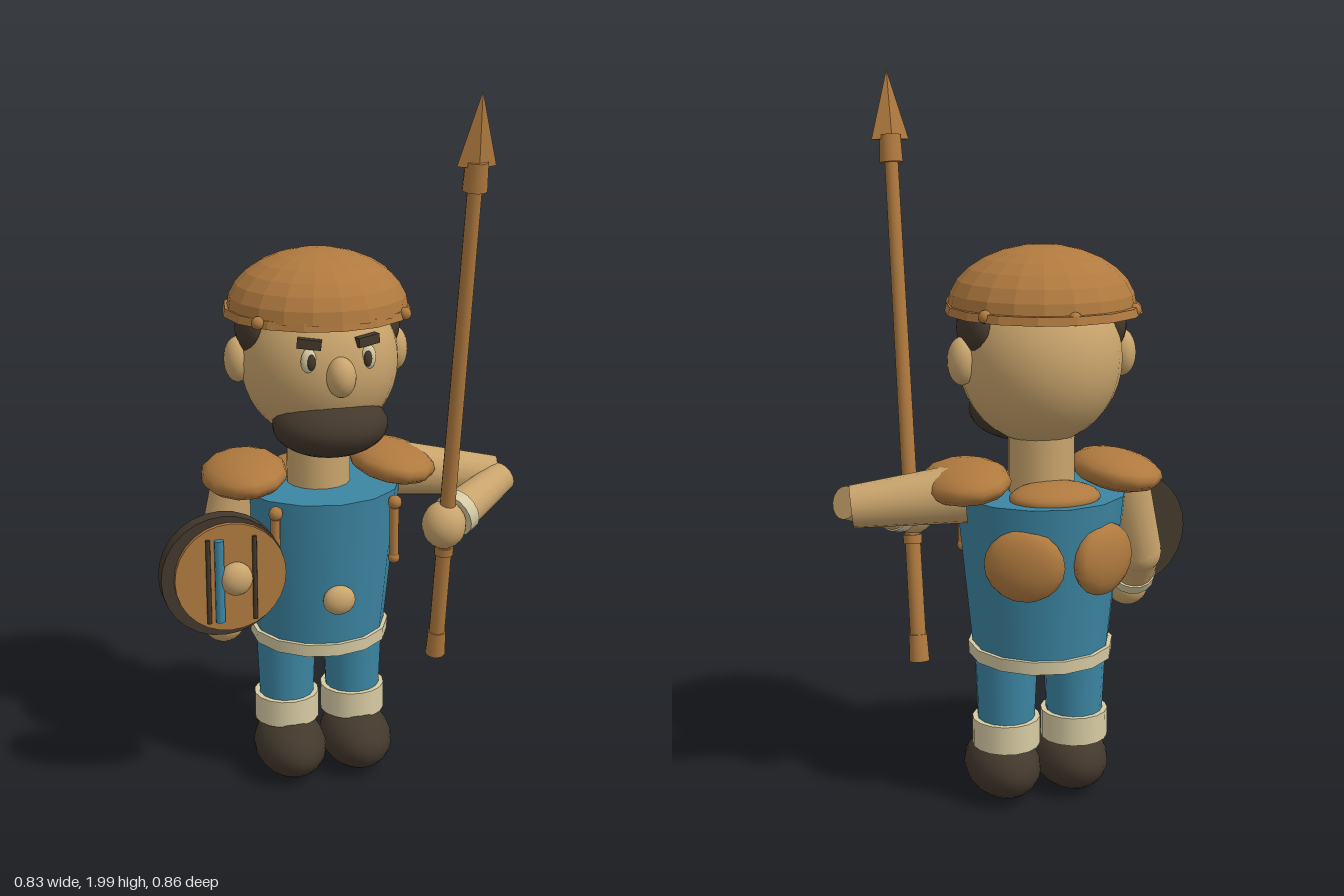
import * as THREE from 'three';

const paint = (name, color, flatShading = false) => {
  const m = new THREE.MeshStandardMaterial({ color });
  m.name = name;
  m.flatShading = flatShading;
  return m;
};

export function createModel() {
  const brown = paint('leather brown', 0xb07a3f);
  const skin = paint('skin tan', 0xcaa56d);
  const blue = paint('tunic blue', 0x3c86a3);
  const dark = paint('dark brown', 0x43382c);
  const cream = paint('cream', 0xd8cca4);
  const facetBrown = paint('faceted brown', 0xb07a3f, true);

  const model = new THREE.Group();
  model.name = 'guard';
  // The figure is turned 45 degrees: local +z is its front, local +x its left
  const figure = new THREE.Group();
  figure.name = 'figure';
  figure.position.set(-0.115, 0, -0.05);
  figure.rotation.y = Math.PI / 4;
  model.add(figure);

  const add = (name, geo, mat, pos, parent = figure) => {
    const m = new THREE.Mesh(geo, mat);
    m.name = name;
    m.position.set(...pos);
    parent.add(m);
    return m;
  };
  const blob = (name, mat, pos, radii, ws = 20, hs = 14) => {
    const m = add(name, new THREE.SphereGeometry(1, ws, hs), mat, pos);
    m.scale.set(...radii);
    return m;
  };
  const drum = (name, mat, pos, rTop, rBottom, h, sides = 16, parent = figure) =>
    add(name, new THREE.CylinderGeometry(rTop, rBottom, h, sides), mat, pos, parent);
  // Tapered limb from point a to point b
  const limb = (name, mat, a, b, ra, rb) => {
    const p = new THREE.Vector3(...a), q = new THREE.Vector3(...b);
    const dir = q.clone().sub(p);
    const m = drum(name, mat, p.clone().lerp(q, 0.5).toArray(), rb, ra, dir.length());
    m.quaternion.setFromUnitVectors(new THREE.Vector3(0, 1, 0), dir.normalize());
    return m;
  };

  // Torso
  drum('tunic', blue, [0, 0.67, 0], 0.232, 0.187, 0.44, 14);
  drum('tunicHem', cream, [0, 0.447, 0], 0.2, 0.198, 0.036, 14);
  blob('backCollar', brown, [0, 0.895, -0.11], [0.125, 0.04, 0.095]);
  blob('bellyButton', skin, [0, 0.605, 0.212], [0.046, 0.042, 0.03]);
  drum('neck', skin, [0, 0.99, 0], 0.09, 0.09, 0.22);

  for (const s of [-1, 1]) {
    const side = s > 0 ? 'left' : 'right';
    // Legs and feet
    drum(side + 'Leg', blue, [s * 0.1, 0.34, 0], 0.088, 0.078, 0.24);
    drum(side + 'LegCuff', cream, [s * 0.1, 0.21, 0], 0.094, 0.094, 0.08);
    blob(side + 'Shoe', dark, [s * 0.1, 0.095, 0.035], [0.103, 0.09, 0.147]);
    // Shoulder pads, back plates and chest straps
    const pad = blob(side + 'ShoulderPad', brown, [s * 0.216, 0.93, 0], [0.12, 0.053, 0.175], 12, 10);
    pad.rotation.z = -s * 0.12;
    const plate = blob(side + 'BackPlate', brown, [s * 0.11, 0.735, -0.183], [0.108, 0.098, 0.045], 12, 10);
    plate.rotation.y = s * -0.5;
    drum(side + 'ChestStrap', brown, [s * 0.17, 0.785, 0.175], 0.014, 0.014, 0.17, 8);
    blob(side + 'StrapKnob', brown, [s * 0.17, 0.865, 0.18], [0.02, 0.02, 0.02], 10, 8);
    blob(side + 'StrapEnd', brown, [s * 0.17, 0.7, 0.175], [0.017, 0.017, 0.017], 10, 8);
    // Face sides
    blob(side + 'Ear', skin, [s * 0.225, 1.255, -0.01], [0.038, 0.064, 0.045]);
    blob(side + 'Hair', dark, [s * 0.18, 1.335, 0], [0.05, 0.075, 0.09]);
    blob(side + 'Eye', cream, [s * 0.082, 1.292, 0.208], [0.022, 0.034, 0.014], 14, 10);
    blob(side + 'Pupil', dark, [s * 0.078, 1.29, 0.219], [0.012, 0.022, 0.008], 12, 8);
    const brow = add(side + 'Eyebrow', new THREE.BoxGeometry(0.065, 0.026, 0.022), dark,
      [s * 0.08, 1.338, 0.206]);
    brow.rotation.set(0, s * 0.3, s * 0.1);
  }

  // Head
  blob('head', skin, [0, 1.25, 0.012], [0.22, 0.232, 0.22], 28, 20);
  blob('nose', skin, [0, 1.248, 0.232], [0.04, 0.055, 0.045]);
  blob('beard', dark, [0, 1.09, 0.125], [0.16, 0.087, 0.142], 24, 16);

  // Helmet: faceted dome, brim and rivets
  const dome = add('helmetDome',
    new THREE.SphereGeometry(1, 20, 7, 0, Math.PI * 2, 0, Math.PI / 2), facetBrown, [0, 1.39, -0.002]);
  dome.scale.set(0.25, 0.162, 0.25);
  drum('helmetBrim', facetBrown, [0, 1.386, -0.012], 0.257, 0.262, 0.022, 16);
  for (const deg of [54, -54, 126, -126, 180]) {
    const a = deg * Math.PI / 180;
    blob('helmetRivet', brown, [Math.sin(a) * 0.252, 1.389, Math.cos(a) * 0.252],
      [0.018, 0.018, 0.018], 10, 8);
  }

  // Left arm, bent to hold the spear
  limb('leftUpperArm', skin, [0.223, 0.9, -0.015], [0.513, 0.87, 0.052], 0.08, 0.057);
  limb('leftForearm', skin, [0.525, 0.875, 0.08], [0.35, 0.815, 0.186], 0.045, 0.06);
  limb('leftArmCuff', cream, [0.368, 0.822, 0.175], [0.338, 0.812, 0.193], 0.064, 0.064);
  blob('leftHand', skin, [0.3, 0.8, 0.222], [0.062, 0.068, 0.062]);

  // Right arm, hanging behind the shield
  limb('rightUpperArm', skin, [-0.235, 0.9, 0], [-0.3, 0.68, 0.025], 0.075, 0.064);
  blob('rightElbow', skin, [-0.3, 0.68, 0.025], [0.064, 0.064, 0.064]);
  limb('rightForearm', skin, [-0.3, 0.68, 0.025], [-0.312, 0.59, 0.1], 0.062, 0.06);
  limb('rightArmCuff', cream, [-0.308, 0.61, 0.084], [-0.312, 0.585, 0.105], 0.066, 0.066);
  blob('rightHand', skin, [-0.31, 0.55, 0.13], [0.06, 0.06, 0.06]);

  // Round shield with slats and boss
  const rim = drum('shieldRim', dark, [-0.32, 0.705, 0.17], 0.172, 0.172, 0.046, 28);
  const face = drum('shieldFace', brown, [-0.303, 0.705, 0.2], 0.154, 0.154, 0.014, 28);
  rim.rotation.x = face.rotation.x = Math.PI / 2;
  for (const u of [-0.366, -0.238])
    drum('shieldSlat', dark, [u, 0.7, 0.212], 0.0065, 0.0065, 0.24, 8);
  drum('shieldStripe', blue, [-0.336, 0.7, 0.214], 0.013, 0.013, 0.235, 10);
  blob('shieldBoss', skin, [-0.29, 0.703, 0.215], [0.045, 0.047, 0.034]);

  // Spear, leaning forward
  const spear = new THREE.Group();
  spear.name = 'spear';
  spear.position.set(0.306, 0.38, 0.152);
  spear.rotation.x = 0.165;
  figure.add(spear);
  drum('spearShaft', brown, [0, 0.73, 0], 0.019, 0.023, 1.42, 12, spear);
  drum('spearButt', brown, [0, 0.038, 0], 0.026, 0.029, 0.076, 12, spear);
  drum('spearRing', brown, [0, 0.345, 0], 0.027, 0.027, 0.025, 12, spear);
  drum('spearCollar', brown, [0, 1.425, 0], 0.03, 0.033, 0.075, 12, spear);
  const tip = add('spearHead', new THREE.ConeGeometry(0.053, 0.19, 4), facetBrown, [0, 1.545, 0], spear);
  tip.scale.z = 0.4;

  return model;
}
